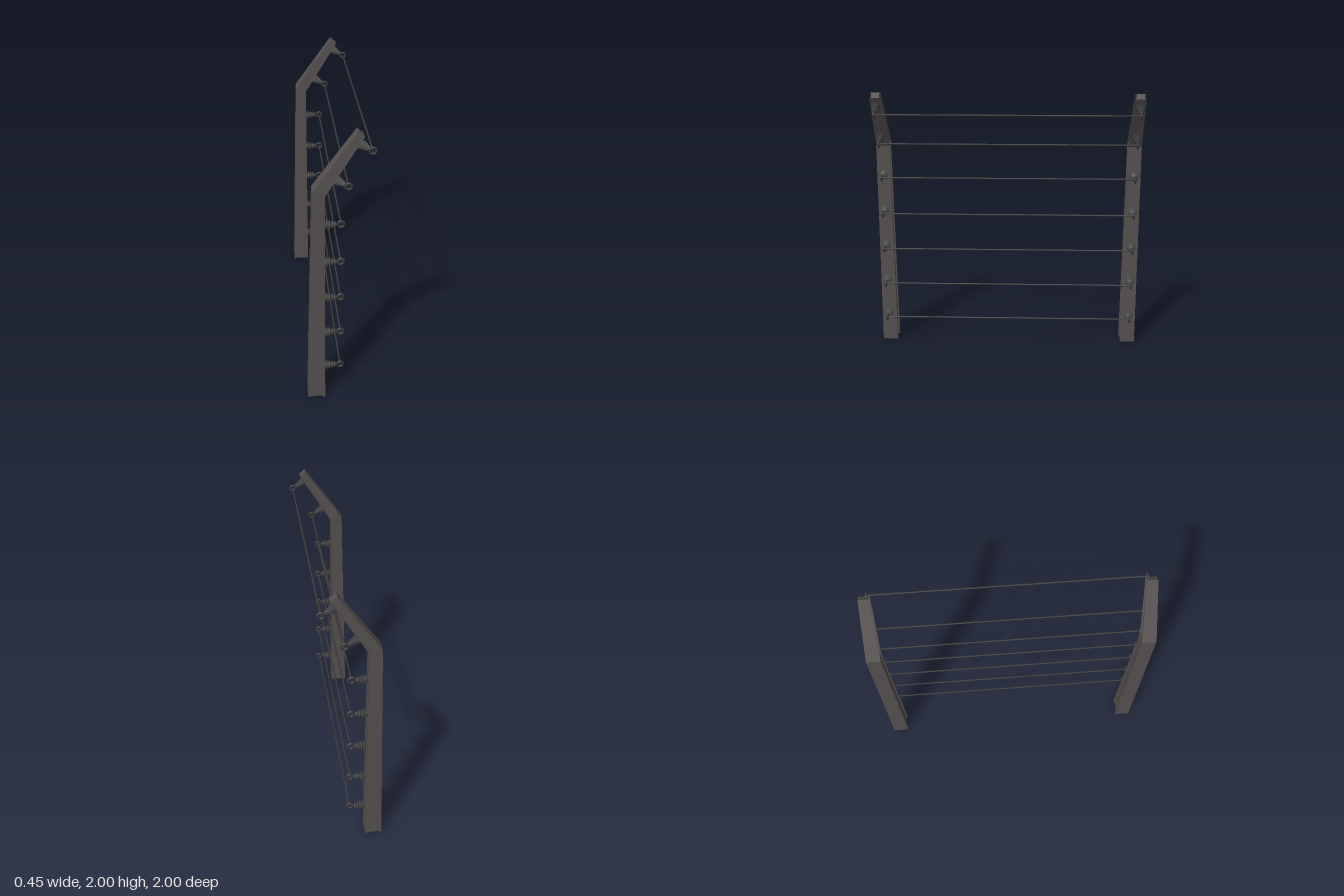
import * as THREE from 'three';

const concrete = new THREE.MeshStandardMaterial({ name: 'dark concrete', color: 0x565050 });
const ceramic = new THREE.MeshStandardMaterial({ name: 'dark ceramic', color: 0x474747 });
const steel = new THREE.MeshStandardMaterial({ name: 'dark steel', color: 0x3c3a3a });

const POST_Z = 0.943;

// Post stations: back edge, front edge and half depth from ground to tip
const STATIONS = [
  { back: [-0.225, 0], front: [-0.105, 0], half: 0.057 },
  { back: [-0.185, 1.605], front: [-0.105, 1.575], half: 0.05 },
  { back: [0.1, 2], front: [0.14, 1.967], half: 0.038 },
];

// Insulator mounts: point on the post face, tilt and wire spacing
const MOUNTS = [0.235, 0.515, 0.795, 1.072, 1.352].map((y) => ({ x: -0.105, y, tilt: 0 }));
const TILT = Math.atan2(-0.245, 0.392);
MOUNTS.push({ x: -0.043, y: 1.675, tilt: TILT }, { x: 0.106, y: 1.914, tilt: TILT });
const REACH = 0.108;

// Four-sided bar following the stations between two fractions of the post width
function bar(u0, u1, inset) {
  const rings = STATIONS.map(({ back, front, half }) => {
    const at = (u, z) => [
      back[0] + (front[0] - back[0]) * u,
      back[1] + (front[1] - back[1]) * u,
      z,
    ];
    const h = half - inset;
    return [at(u0, h), at(u1, h), at(u1, -h), at(u0, -h)];
  });
  const pos = [];
  const quad = (a, b, c, d) => pos.push(...a, ...b, ...c, ...a, ...c, ...d);
  for (let s = 0; s < rings.length - 1; s++) {
    for (let i = 0; i < 4; i++) {
      const j = (i + 1) % 4;
      quad(rings[s][i], rings[s][j], rings[s + 1][j], rings[s + 1][i]);
    }
  }
  const top = rings[rings.length - 1];
  quad(...top);
  quad(...[...rings[0]].reverse());
  const geo = new THREE.BufferGeometry();
  geo.setAttribute('position', new THREE.Float32BufferAttribute(pos, 3));
  geo.computeVertexNormals();
  return geo;
}

function add(parent, name, geometry, material) {
  const mesh = new THREE.Mesh(geometry, material);
  mesh.name = name;
  parent.add(mesh);
  return mesh;
}

// Ribbed insulator profile, three shrinking skirts
function insulatorGeometry() {
  const pts = [[0, -0.01], [0.016, -0.01], [0.016, 0.004]];
  [0.035, 0.031, 0.026, 0.021].forEach((r, i) => {
    const y = 0.006 + i * 0.018;
    pts.push([r * 0.5, y], [r, y + 0.009], [r, y + 0.012], [r * 0.5, y + 0.017]);
  });
  pts.push([0.009, 0.08], [0, 0.08]);
  return new THREE.LatheGeometry(pts.map(([x, y]) => new THREE.Vector2(x, y)), 16)
    .toNonIndexed();
}

export function createModel() {
  const model = new THREE.Group();
  model.name = 'wireFence';

  const flangeBack = bar(0, 0.12, 0);
  const web = bar(0.12, 0.88, 0.01);
  const flangeFront = bar(0.88, 1, 0);
  const ribs = insulatorGeometry();
  ribs.rotateZ(-Math.PI / 2);
  ribs.computeVertexNormals();
  const ring = new THREE.TorusGeometry(0.021, 0.008, 8, 18);

  for (const side of [1, -1]) {
    // Bent, tapered post with shallow recesses in its sides
    const post = new THREE.Group();
    post.name = side > 0 ? 'frontPost' : 'backPost';
    post.position.z = side * POST_Z;
    add(post, 'backFlange', flangeBack, concrete);
    add(post, 'web', web, concrete);
    add(post, 'frontFlange', flangeFront, concrete);
    model.add(post);

    // Insulators with an eye for the wire
    for (const { x, y, tilt } of MOUNTS) {
      const insulator = new THREE.Group();
      insulator.name = 'insulator';
      insulator.position.set(x, y, 0);
      insulator.rotation.z = tilt;
      add(insulator, 'ribbedBody', ribs, ceramic);
      add(insulator, 'wireEye', ring, steel).position.x = REACH;
      post.add(insulator);
    }
  }

  // Wires strung between the eyes
  const strand = new THREE.CylinderGeometry(0.006, 0.006, POST_Z * 2, 8);
  strand.rotateX(Math.PI / 2);
  for (const { x, y, tilt } of MOUNTS) {
    add(model, 'wire', strand, steel).position.set(
      x + Math.cos(tilt) * REACH,
      y + Math.sin(tilt) * REACH,
      0,
    );
  }
  return model;
}
